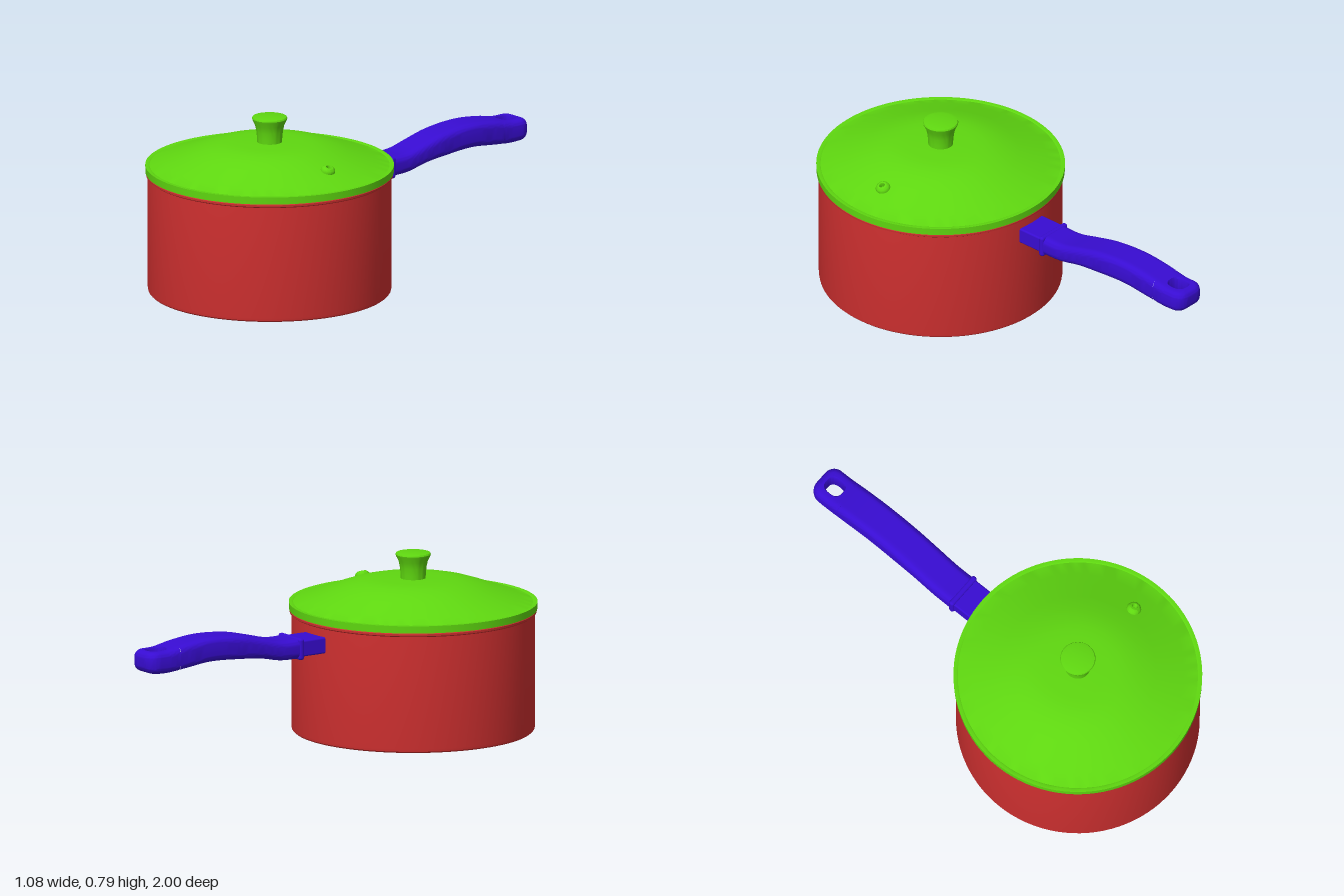
import * as THREE from 'three';
import { toCreasedNormals, mergeVertices } from 'three/addons/utils/BufferGeometryUtils.js';
import { RoundedBoxGeometry } from 'three/addons/geometries/RoundedBoxGeometry.js';

const red = new THREE.MeshStandardMaterial({ color: 0xd03030 });
const green = new THREE.MeshStandardMaterial({ color: 0x5fd810 });
const blue = new THREE.MeshStandardMaterial({ color: 0x380cd2 });

function part(name, geometry, material, x = 0, y = 0, z = 0) {
  const mesh = new THREE.Mesh(geometry, material);
  mesh.name = name;
  mesh.position.set(x, y, z);
  return mesh;
}

// Turned part from [radius, height] pairs, with sharp corners kept
function turned(profile, segments = 72) {
  const points = profile.map(([r, y]) => new THREE.Vector2(r, y));
  return toCreasedNormals(new THREE.LatheGeometry(points, segments), 0.5);
}

// Skin over a list of closed loops of points
function skin(loops) {
  const n = loops[0].length;
  const index = [];
  for (let i = 0; i < loops.length - 1; i++) {
    for (let j = 0; j < n; j++) {
      const a = i * n + j, b = i * n + (j + 1) % n;
      index.push(a, b, a + n, b, b + n, a + n);
    }
  }
  const geometry = new THREE.BufferGeometry();
  geometry.setAttribute('position', new THREE.Float32BufferAttribute(loops.flat(2), 3));
  geometry.setIndex(index);
  return toCreasedNormals(mergeVertices(geometry), 0.7);
}

// Grip: wavy underside and top heights along its length
const W = 0.08, CORNER = 0.05, ROUND = 0.03, HOLE_Z = -0.92, END_Z = -0.84;
const stations = [0.19, 0.29, 0.4, 0.5, 0.67, 0.8, 0.9, 0.96, 1.0];
const heights = [0.402, 0.49, 0.405, 0.491, 0.427, 0.517, 0.437, 0.54, 0.446, 0.553,
  0.433, 0.541, 0.424, 0.523, 0.426, 0.522, 0.43, 0.52];
const wave = new THREE.CubicInterpolant(stations, heights, 2, new Float32Array(2));

// Distance inwards from the grip's plan outline
function inset(x, z) {
  const qx = Math.abs(x) - (W - CORNER), qz = -z - (1 - CORNER);
  return CORNER - Math.hypot(Math.max(qx, 0), Math.max(qz, 0)) - Math.min(Math.max(qx, qz), 0);
}

// Point on the grip's top (side 1) or underside (side -1), rounded off at the outline
function gripPoint(x, z, side, extra = 0) {
  const [bottom, top] = wave.evaluate(-z);
  const k = Math.max(0, ROUND - Math.max(0, inset(x, z)));
  const drop = ROUND - Math.sqrt(Math.max(0, ROUND * ROUND - k * k)) + extra;
  return [x, side > 0 ? top - drop : bottom + drop, z];
}

function gripShaft() {
  const loops = [];
  for (let i = 0; i <= 40; i++) {
    const z = THREE.MathUtils.lerp(-0.19, END_Z, i / 40);
    const xs = [];
    for (let k = -12; k <= 12; k++) xs.push(W * Math.sin(k / 12 * Math.PI / 2));
    loops.push([...xs.map(x => gripPoint(x, z, 1)),
      ...xs.reverse().map(x => gripPoint(x, z, -1))]);
  }
  return skin(loops);
}

// End of the grip as a ring around the hanging hole
function gripEnd() {
  const steps = [0, 0.08, 0.3, 0.5, 0.65, 0.78, 0.88, 0.95, 0.985, 1];
  const loops = [];
  for (let i = 0; i <= 80; i++) {
    const a = i / 80 * Math.PI * 2, c = Math.cos(a), s = -Math.sin(a);
    const n = 2.6;
    const inner = (Math.abs(c / 0.037) ** n + Math.abs(s / 0.043) ** n) ** (-1 / n);
    let lo = inner, hi = 0.2;
    for (let k = 0; k < 30; k++) {
      const m = (lo + hi) / 2, z = HOLE_Z + s * m;
      if (inset(c * m, z) > 0 && z < END_Z) lo = m; else hi = m;
    }
    const at = (t, side) => {
      const r = inner + (lo - inner) * t;
      return gripPoint(c * r, HOLE_Z + s * r, side, t === 0 ? 0.006 : 0);
    };
    loops.push([...steps.map(t => at(t, 1)), ...[...steps].reverse().map(t => at(t, -1))]);
  }
  return skin(loops);
}

export function createModel() {
  const model = new THREE.Group();
  const cz = 0.46;

  // Hollow pot with a rolled rim
  model.add(part('pot', turned([
    [0, 0.004], [0.42, 0.004], [0.425, 0], [0.522, 0.002], [0.528, 0.008], [0.53, 0.02],
    [0.53, 0.518], [0.537, 0.523], [0.538, 0.532], [0.534, 0.537],
    [0.515, 0.537], [0.515, 0.02], [0, 0.02],
  ], 96), red, 0, 0, cz));

  // Domed lid with a flat edge band
  model.add(part('lid', turned([
    [0, 0.655], [0.15, 0.655], [0.3, 0.63], [0.42, 0.585], [0.51, 0.536], [0.54, 0.536],
    [0.541, 0.568], [0.526, 0.568], [0.522, 0.566], [0.46, 0.588], [0.4, 0.608], [0.34, 0.63],
    [0.28, 0.65], [0.23, 0.662], [0.19, 0.668], [0.14, 0.671], [0, 0.671],
  ], 96), green, 0, 0, cz));

  // Flared knob
  model.add(part('knob', turned([
    [0, 0.66], [0.054, 0.66], [0.055, 0.69], [0.058, 0.72], [0.064, 0.748], [0.075, 0.77],
    [0.077, 0.777], [0.074, 0.783], [0.06, 0.786], [0, 0.787],
  ], 48), green, 0, 0, cz));

  // Steam vent, tilted to follow the lid
  const vent = part('steamVent', turned([
    [0, -0.02], [0.032, -0.02], [0.032, 0.008], [0.028, 0.016], [0.02, 0.022], [0.013, 0.023],
    [0.011, 0.018], [0.011, 0.002], [0, 0.002],
  ], 32), green, 0.377, 0.614, cz);
  vent.rotation.z = -0.37;
  model.add(vent);

  // Handle: bracket, collar and wavy grip
  const handle = new THREE.Group();
  handle.name = 'handle';
  handle.add(
    part('bracket', new RoundedBoxGeometry(0.15, 0.072, 0.15, 3, 0.008), blue, 0, 0.447, -0.125),
    part('collar', new RoundedBoxGeometry(0.168, 0.096, 0.026, 4, 0.011), blue, 0, 0.446, -0.193),
    part('grip', gripShaft(), blue),
    part('gripEnd', gripEnd(), blue),
  );
  model.add(handle);
  return model;
}
